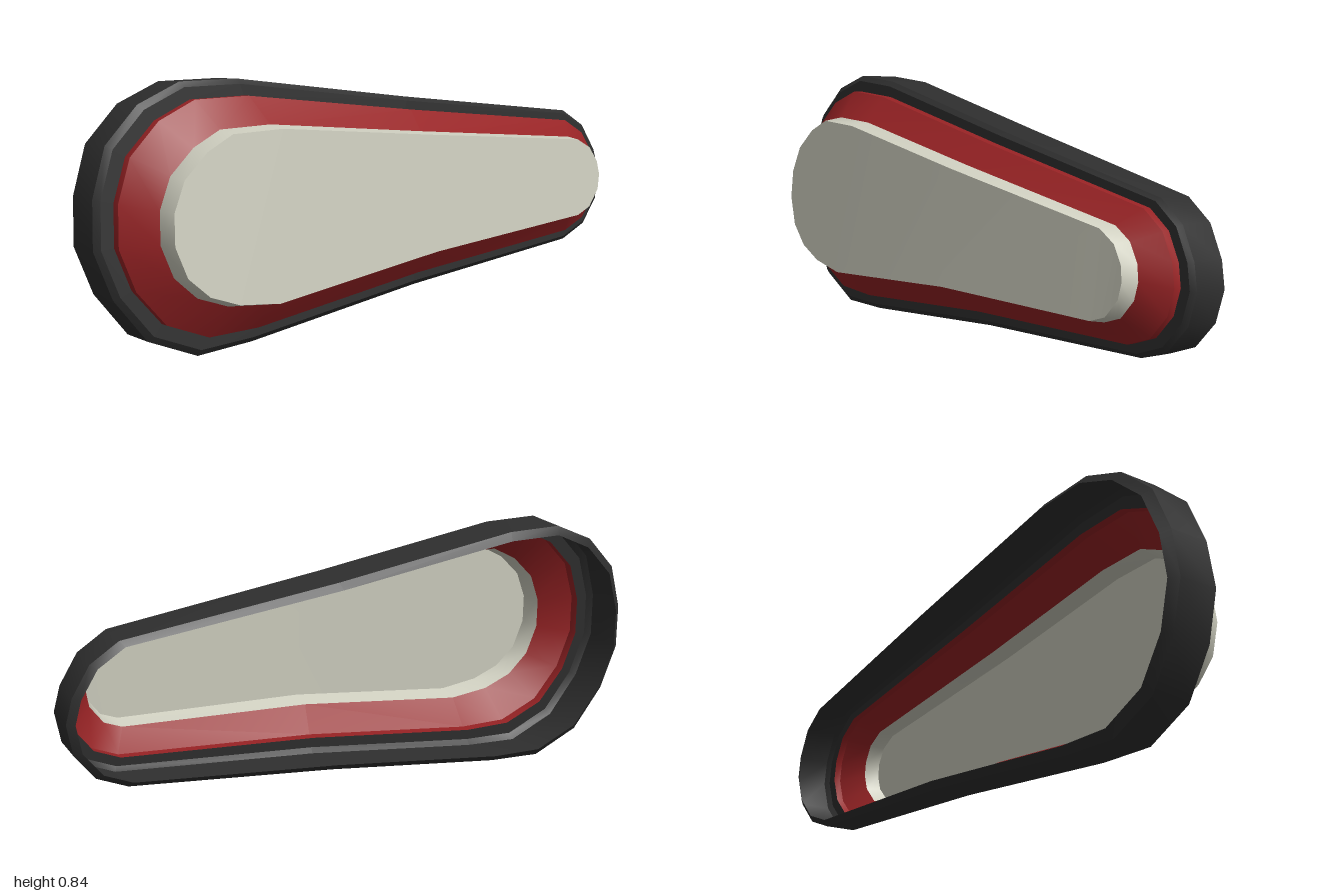
import * as THREE from 'three';
import { toCreasedNormals } from 'three/addons/utils/BufferGeometryUtils.js';

// Teardrop outlines, counter-clockwise from the narrow tip; both share the same point count.
const OUTER = [
  [0.995, 0.40], [0.975, 0.48], [0.92, 0.575], [0.83, 0.635], [0.13, 0.735], [-0.5, 0.835], [-0.69, 0.838],
  [-0.83, 0.78], [-0.94, 0.67], [-0.99, 0.52], [-1, 0.37], [-0.95, 0.22], [-0.85, 0.08], [-0.69, 0.008],
  [-0.5, 0.02], [0.13, 0.105], [0.81, 0.17], [0.91, 0.215], [0.975, 0.30],
];
const INNER = [
  [0.865, 0.41], [0.855, 0.46], [0.82, 0.515], [0.76, 0.55], [0.10, 0.627], [-0.46, 0.696], [-0.63, 0.695],
  [-0.72, 0.65], [-0.80, 0.575], [-0.84, 0.48], [-0.845, 0.38], [-0.81, 0.28], [-0.74, 0.21], [-0.64, 0.17],
  [-0.5, 0.155], [0.10, 0.23], [0.75, 0.27], [0.81, 0.295], [0.855, 0.355],
];
const N = OUTER.length;
const PIVOT = 0.42;

// Depth shrinks toward the narrow end.
const depthScale = (x) => (x < 0.1 ? 1 - 0.05 * Math.max(0, x + 0.5) : Math.max(0.79, 0.97 - 0.25 * (x - 0.1)));

// Ring at depth z, blended from the outer outline (t = 0) to the inner outline (t = 1).
function ring(t, z) {
  return OUTER.map(([x, y], i) => {
    const px = x + (INNER[i][0] - x) * t;
    const py = y + (INNER[i][1] - y) * t;
    return [px, py - PIVOT, z * depthScale(px)];
  });
}

// Skin consecutive rings from back to front, optionally closing the front.
function loft(rings, capped) {
  const pos = [];
  const tri = (a, b, c) => pos.push(...a, ...b, ...c);
  for (let r = 0; r < rings.length - 1; r++) {
    const a = rings[r], b = rings[r + 1];
    for (let i = 0; i < N; i++) {
      const j = (i + 1) % N;
      tri(a[i], a[j], b[j]);
      tri(a[i], b[j], b[i]);
    }
  }
  if (capped) {
    // Strips between matching upper and lower points follow the bend in the face.
    const f = rings[rings.length - 1];
    tri(f[0], f[1], f[N - 1]);
    for (let i = 1; i < (N - 1) / 2; i++) {
      tri(f[i], f[i + 1], f[N - 1 - i]);
      tri(f[i], f[N - 1 - i], f[N - i]);
    }
  }
  const g = new THREE.BufferGeometry();
  g.setAttribute('position', new THREE.Float32BufferAttribute(pos, 3));
  return toCreasedNormals(g, 0.55);
}

export function createModel() {
  const material = (name, color) => {
    const m = new THREE.MeshStandardMaterial({ color, side: THREE.DoubleSide });
    m.name = name;
    return m;
  };
  const model = new THREE.Group();
  model.name = 'teardropCover';
  const add = (name, mat, rings, capped = false) => {
    const mesh = new THREE.Mesh(loft(rings, capped), mat);
    mesh.name = name;
    // Lean the whole shell slightly backward.
    mesh.rotation.x = -0.085;
    mesh.position.y = PIVOT;
    model.add(mesh);
  };

  // Open-backed rim with bevelled edges
  add('rim', material('black', 0x2e2e2e),
    [ring(0.18, -0.17), ring(0, -0.148), ring(0, -0.008), ring(0.12, 0.008), ring(0.38, 0.008)]);

  // Short wall and sloping shoulder
  add('shoulder', material('red', 0x962224),
    [ring(0.38, 0.008), ring(0.38, 0.04), ring(1, 0.114)]);

  // Raised front panel
  add('panel', material('ivory', 0xcfcfc0), [ring(1, 0.114), ring(1.08, 0.182)], true);

  return model;
}
